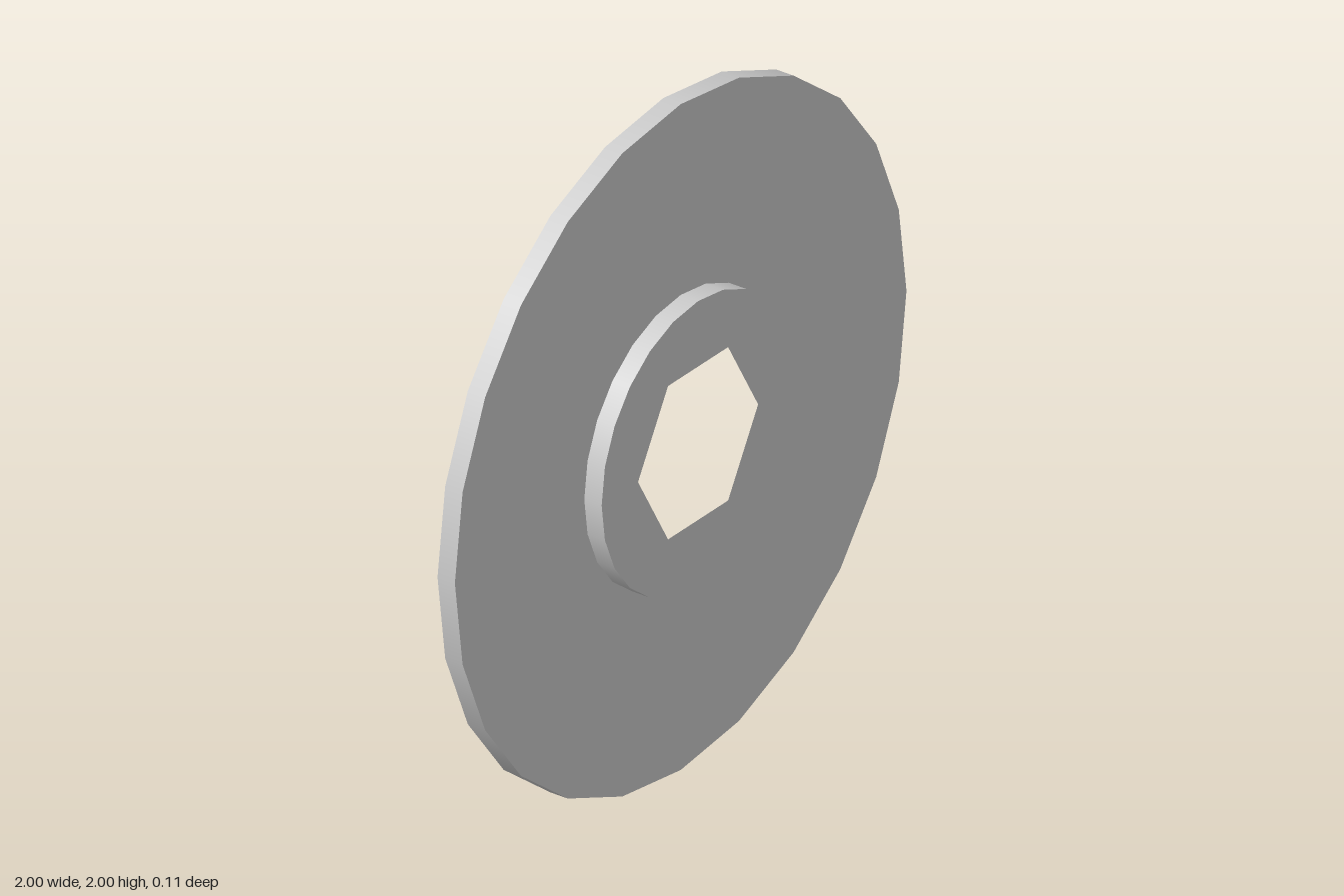
import * as THREE from 'three';

const SIDES = 24, R = 1, BOSS_R = 0.427, HEX_R = 0.266, T = 0.057;

export function createModel() {
  const group = new THREE.Group();
  const material = new THREE.MeshStandardMaterial({ color: 0xcccccc, side: THREE.DoubleSide });

  const add = (name, geometry, z = 0) => {
    const mesh = new THREE.Mesh(geometry, material);
    mesh.name = name;
    mesh.position.set(0, 1, z);
    group.add(mesh);
  };

  // One band turned about the z axis; each point is [radius, z]
  const band = (name, a, b) => {
    const points = [a, b].map(([r, z]) => new THREE.Vector2(r, z));
    add(name, new THREE.LatheGeometry(points, SIDES).rotateX(Math.PI / 2));
  };

  // Regular polygon with its first corner on the x axis
  const polygon = (path, radius, sides) => {
    const points = [];
    for (let i = 0; i < sides; i++) {
      const a = (i / sides) * Math.PI * 2;
      points.push(new THREE.Vector2(radius * Math.cos(a), radius * Math.sin(a)));
    }
    return path.setFromPoints(points);
  };

  // Pressed sheet: rim turned back, flat plate, boss pushed forward
  band('rim', [R, -T], [R, 0]);
  band('plate', [R, 0], [BOSS_R, 0]);
  band('bossWall', [BOSS_R, 0], [BOSS_R, T]);

  // Boss face with the open hexagonal hole
  const face = polygon(new THREE.Shape(), BOSS_R, SIDES);
  face.holes.push(polygon(new THREE.Path(), HEX_R, 6));
  add('bossFace', new THREE.ShapeGeometry(face), T);

  return group;
}
